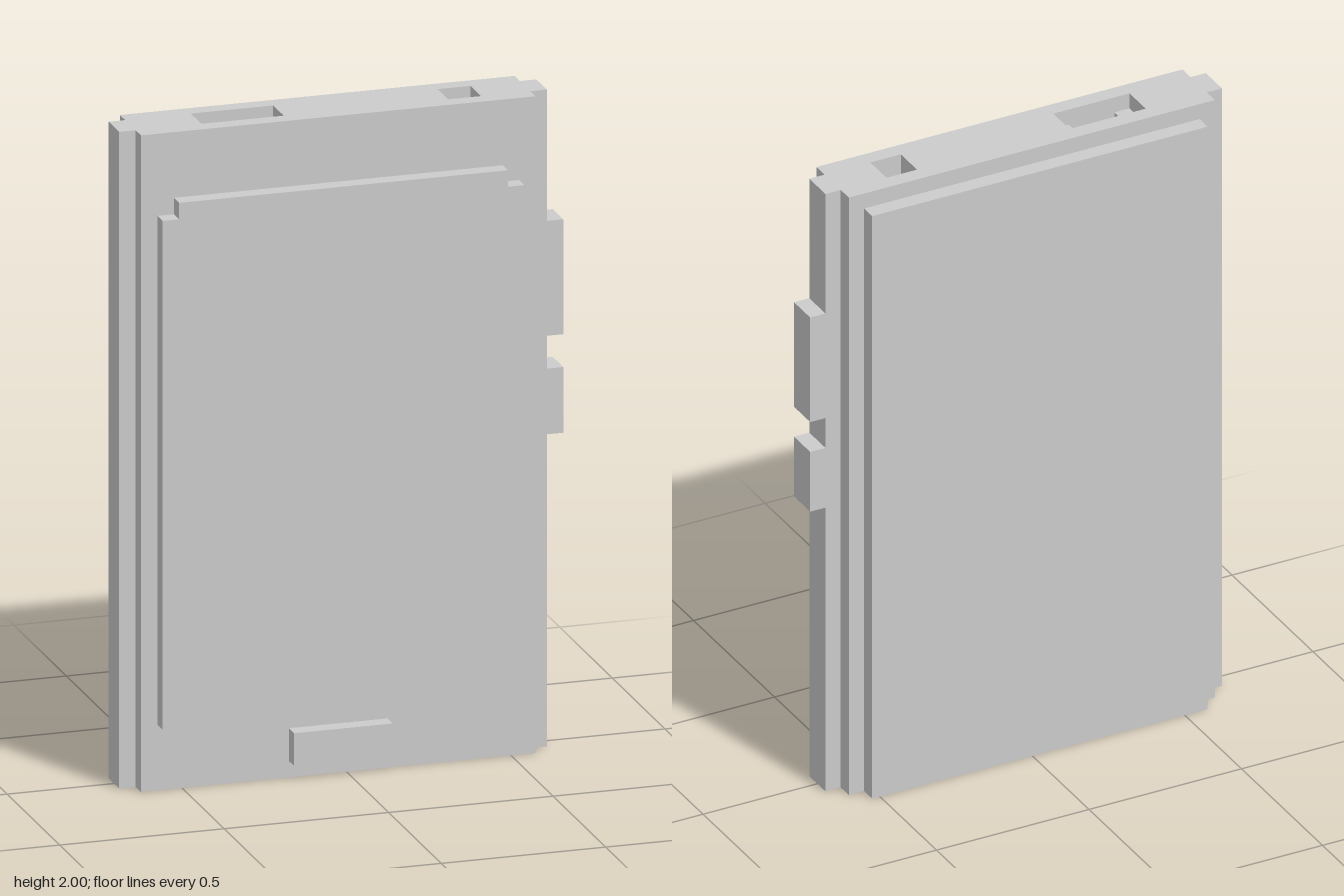
import * as THREE from 'three';

export function createModel() {
  const model = new THREE.Group();
  const material = new THREE.MeshStandardMaterial({ color: 0xcccccc, flatShading: true });

  // Extrudes an x/y outline from z0 to z1
  function slab(name, outline, z0, z1) {
    const shape = new THREE.Shape(outline.map(([x, y]) => new THREE.Vector2(x, y)));
    const geometry = new THREE.ExtrudeGeometry(shape, { depth: z1 - z0, bevelEnabled: false });
    geometry.translate(0, 0, z0);
    const mesh = new THREE.Mesh(geometry, material);
    mesh.name = name;
    model.add(mesh);
  }
  const rect = (x0, y0, x1, y1) => [[x0, y0], [x1, y0], [x1, y1], [x0, y1]];

  // Middle layer: side rails, with the two sockets cut into the top edge
  slab('coreWithSockets', [
    [-0.675, 0], [0.625, 0], [0.625, 2],
    [0.425, 2], [0.425, 1.9], [0.325, 1.9], [0.325, 2],
    [-0.175, 2], [-0.175, 1.95], [-0.225, 1.95], [-0.225, 1.9],
    [-0.375, 1.9], [-0.375, 1.95], [-0.425, 1.95], [-0.425, 2],
    [-0.675, 2],
  ], -0.05, 0.05);

  // Casing halves in front of and behind the core
  slab('frontCasing', rect(-0.625, 0, 0.575, 2), 0.05, 0.1);
  slab('backCasing', rect(-0.625, 0, 0.575, 2), -0.1, -0.05);
  slab('backCover', rect(-0.575, 0, 0.525, 1.95), -0.15, -0.1);

  // Raised screen with notched upper corners
  slab('screen', [
    [-0.575, 0.2], [0.525, 0.2], [0.525, 1.75], [0.475, 1.75],
    [0.475, 1.8], [-0.525, 1.8], [-0.525, 1.75], [-0.575, 1.75],
  ], 0.1, 0.15);
  slab('homeButton', rect(-0.175, 0.05, 0.125, 0.15), 0.1, 0.15);

  // Side buttons
  slab('volumeButton', rect(0.625, 1.25, 0.675, 1.6), -0.05, 0.05);
  slab('powerButton', rect(0.625, 0.95, 0.675, 1.15), -0.05, 0.05);

  return model;
}
